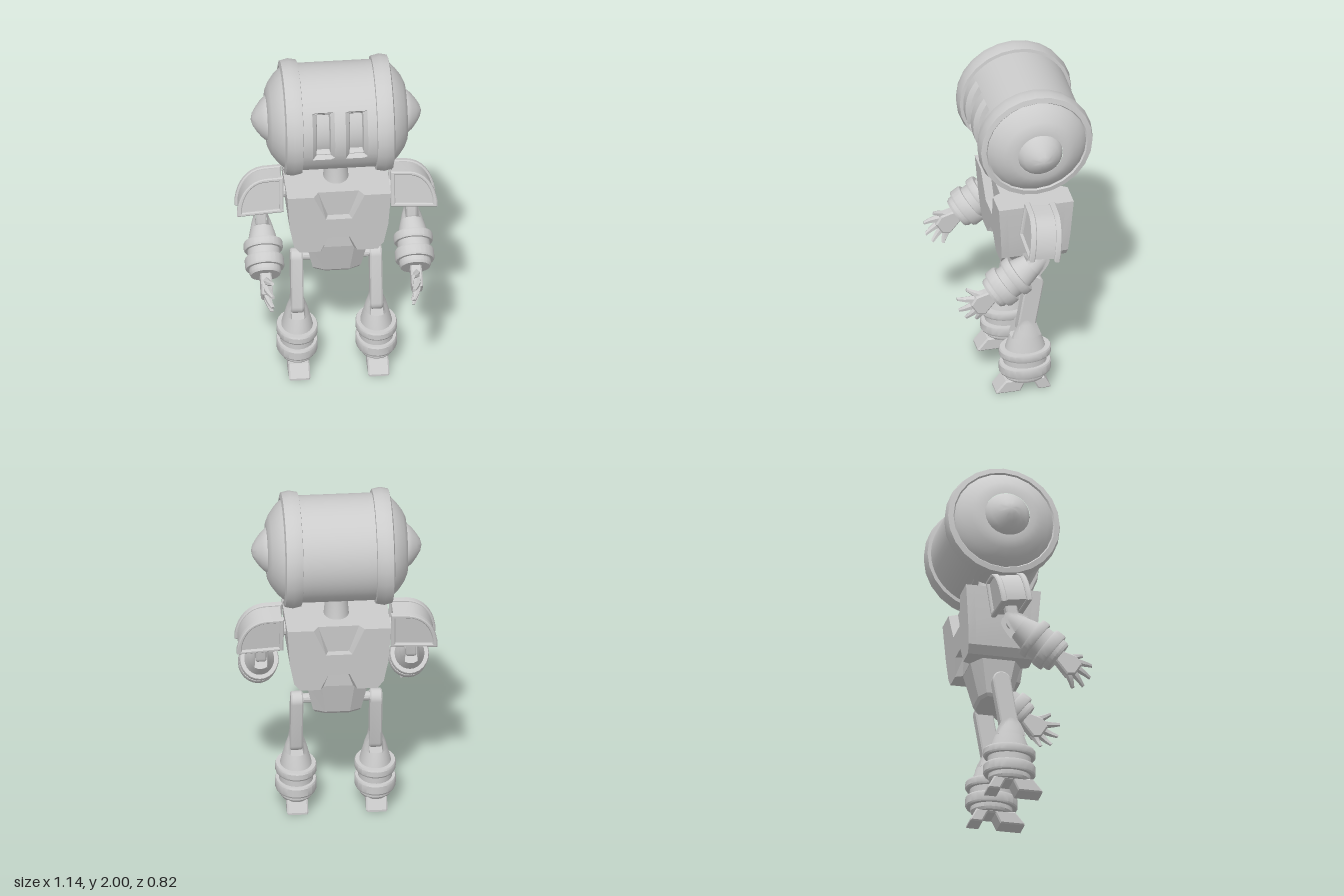
import * as THREE from 'three';
import { toCreasedNormals } from 'three/addons/utils/BufferGeometryUtils.js';

const material = new THREE.MeshStandardMaterial({ color: 0xcccccc });
const V2 = ([x, y]) => new THREE.Vector2(x, y);

function add(parent, name, geo, crease = 0.5) {
  const mesh = new THREE.Mesh(toCreasedNormals(geo, crease), material);
  mesh.name = name;
  parent.add(mesh);
  return mesh;
}

function group(parent, name, x = 0, y = 0, z = 0) {
  const g = new THREE.Group();
  g.name = name;
  g.position.set(x, y, z);
  parent.add(g);
  return g;
}

const lathe = (pts) => new THREE.LatheGeometry(pts.map(V2), 24);

function extrude(shape, depth, bevel = 0) {
  return new THREE.ExtrudeGeometry(shape, {
    depth, curveSegments: 8, bevelEnabled: bevel > 0, bevelSize: bevel, bevelThickness: bevel,
    bevelOffset: -bevel, bevelSegments: 1,
  }).translate(0, 0, -depth / 2);
}

function bend(geo, rule) {
  const p = geo.attributes.position, v = new THREE.Vector3();
  for (let i = 0; i < p.count; i++) {
    rule(v.fromBufferAttribute(p, i));
    p.setXYZ(i, v.x, v.y, v.z);
  }
  return geo;
}

function meshFrom(pos, idx) {
  const g = new THREE.BufferGeometry();
  g.setAttribute('position', new THREE.Float32BufferAttribute(pos, 3));
  g.setIndex(idx);
  return g;
}

// Head drum whose radius drops inside the eye slots and the neck socket
function barrel() {
  const R = 0.305;
  // Each slot: x range, angle range, depth, width of its sloping edge
  const slots = [[0.043, 0.045, 1.86, Math.PI]].length && [
    [-0.074, 0.074, Math.PI - 0.4, Math.PI + 0.4, 0.045, 0.01],
  ];
  for (const x of [-0.094, 0.094]) {
    slots.push([x - 0.035, x + 0.035, 0.95, 1.86, 0.06, 0.006]);
    slots.push([x - 0.041, x + 0.041, 0.93, 1.89, 0.025, 0.022]);
  }
  const xs = [-0.22, 0.22], ts = [];
  for (let i = 0; i <= 48; i++) ts.push(i * Math.PI / 24);
  for (const [x0, x1, t0, t1, , lip] of slots) {
    xs.push(x0 - lip, x0, x1, x1 + lip);
    ts.push(t0 - lip * 2, t0, t1, t1 + lip * 2);
  }
  const order = (a) => [...new Set(a)].sort((p, q) => p - q);
  const X = order(xs), T = order(ts), pos = [], idx = [];
  for (const x of X) for (const t of T) {
    const s = slots.find(([a, b, c, d]) => x >= a && x <= b && t >= c && t <= d);
    const r = s ? R - s[4] : R;
    pos.push(x, r * Math.cos(t), r * Math.sin(t));
  }
  for (let i = 0; i < X.length - 1; i++) for (let j = 0; j < T.length - 1; j++) {
    const a = i * T.length + j, c = a + T.length;
    idx.push(a, a + 1, c, a + 1, c + 1, c);
  }
  return meshFrom(pos, idx);
}

function buildHead(root) {
  const head = group(root, 'head', 0, 1.665, -0.08);
  add(head, 'headDrum', barrel());
  for (const s of [1, -1]) {
    const end = group(head, 'headEnd');
    end.scale.x = s;
    add(end, 'headRing', lathe([[0.29, 0.207], [0.325, 0.212], [0.335, 0.26], [0.325, 0.305],
      [0.295, 0.312], [0.285, 0.30]]).rotateZ(-Math.PI / 2));
    add(end, 'headDome', lathe([[0.29, 0.30], [0.275, 0.32], [0.25, 0.345], [0.205, 0.378],
      [0.165, 0.396], [0.13, 0.398]]).rotateZ(-Math.PI / 2));
    add(end, 'earKnob', lathe([[0.13, 0.385], [0.126, 0.402], [0.103, 0.428], [0.07, 0.454],
      [0.035, 0.476], [0, 0.485]]).rotateZ(-Math.PI / 2), 0.9);
  }
}

function buildTorso(root) {
  const torso = group(root, 'torso', 0, 0, -0.08);
  const side = [[0.22, 0.855], [0.255, 0.90], [0.28, 1.03], [0.295, 1.25]];
  const mirrored = (a) => a.map(([x, y]) => [-x, y]).reverse();
  const topCut = [[0.145, 1.25], [0.075, 1.085]], lowCut = [[0.06, 0.955], [0.105, 0.855]];
  const taper = (v) => { v.z *= 0.87 + 0.13 * (v.y - 0.855) / 0.395; };

  const core = new THREE.Shape([...side, ...mirrored(side)].map(V2));
  add(torso, 'torsoCore', bend(extrude(core, 0.34), taper), 0.2);

  // Front and back plates, notched at top and bottom with sloping notch walls
  const outline = [...side, ...topCut, ...mirrored(topCut), ...mirrored(side),
    ...mirrored(lowCut), ...lowCut];
  for (const turn of [0, Math.PI]) {
    const plate = extrude(new THREE.Shape(outline.map(V2)), 0.048).translate(0, 0, 0.194);
    bend(plate, (v) => {
      if (Math.abs(v.x) < 0.15 && v.z < 0.18) v.x *= 0.8;
      taper(v);
    });
    add(torso, 'torsoPlate', plate.rotateY(turn), 0.2);
  }

  // Pelvis: tapering block with angled corners, closed at the bottom and top
  const loop = (w, d, y) => [[0.52, 1], [1, 0.65], [1, -0.65], [0.52, -1], [-0.52, -1],
    [-1, -0.65], [-1, 0.65], [-0.52, 1]].map(([a, b]) => [a * w, y, b * d]);
  const rows = [loop(0.125, 0.08, 0.645), loop(0.137, 0.095, 0.662), loop(0.18, 0.147, 0.86)];
  const idx = [];
  for (let r = 0; r < 2; r++) for (let i = 0; i < 8; i++) {
    const a = r * 8 + i, b = r * 8 + (i + 1) % 8;
    idx.push(a, b, a + 8, b, b + 8, a + 8);
  }
  for (let i = 1; i < 7; i++) idx.push(0, i + 1, i, 16, 16 + i, 17 + i);
  add(torso, 'pelvis', meshFrom(rows.flat(2), idx), 0.2);

  add(torso, 'neck', lathe([[0.074, 1.24], [0.07, 1.26], [0.06, 1.42]]).scale(1, 1, 1.28));
}

// Flat round-ended bar between two points in the side plane, given as [z, y]
function link(parent, name, x, [z0, y0], [z1, y1], r, width) {
  const len = Math.hypot(z1 - z0, y1 - y0), shape = new THREE.Shape();
  shape.absarc(0, len / 2, r, 0, Math.PI);
  shape.absarc(0, -len / 2, r, Math.PI, Math.PI * 2);
  const m = add(parent, name, extrude(shape, width - 0.016, 0.008).rotateY(Math.PI / 2));
  m.position.set(x, (y0 + y1) / 2, (z0 + z1) / 2);
  m.rotation.x = Math.atan2(z0 - z1, y0 - y1);
}

// Ringed lower limb ending in a two-pronged fork
function limb(parent, name, sx, sz) {
  const body = lathe([[0, 0.07], [0.112, 0.07], [0.122, 0.085], [0.122, 0.11], [0.145, 0.11],
    [0.151, 0.12], [0.151, 0.165], [0.145, 0.175], [0.125, 0.175], [0.125, 0.22], [0.145, 0.22],
    [0.151, 0.23], [0.151, 0.26], [0.145, 0.27], [0.115, 0.27], [0.103, 0.31], [0.088, 0.352],
    [0, 0.352]]);
  add(parent, name, body.scale(sx, 1, sz));
  for (const s of [1, -1]) {
    const prong = lathe([[0, 0.335], [0.088, 0.352], [0.075, 0.39], [0.056, 0.43],
      [0.036, 0.453], [0, 0.465]]).scale(sx, 1, sz);
    bend(prong, (v) => { v.x = Math.max(v.x, 0.037); });
    if (s < 0) prong.rotateY(Math.PI);
    add(parent, name + 'Fork', prong);
  }
}

function buildLeg(parent) {
  add(parent, 'hipPin', new THREE.CylinderGeometry(0.027, 0.027, 0.1, 12).rotateZ(Math.PI / 2)
    .translate(0.16, 0.705, -0.08));
  link(parent, 'thigh', 0.225, [-0.08, 0.695], [-0.03, 0.405], 0.052, 0.07);
  const shin = group(parent, 'lowerLeg', 0.225, 0, -0.03);
  limb(shin, 'shin', 0.78, 1);
  // Arched foot with a front toe and a heel claw
  const foot = [[0.18, 0], [0.18, 0.012], [0.125, 0.078], [-0.10, 0.078], [-0.135, 0.012],
    [-0.135, 0], [-0.065, 0], [-0.035, 0.06], [0.01, 0.06], [0.04, 0]];
  add(shin, 'foot', extrude(new THREE.Shape(foot.map(V2)), 0.105, 0.008).rotateY(-Math.PI / 2), 0.2);
}

function buildArm(parent) {
  // Shoulder guard: a D-shaped block with raised rims front and back
  const curve = new THREE.CubicBezierCurve(V2([0.57, 1.085]), V2([0.555, 1.19]), V2([0.50, 1.27]),
    V2([0.41, 1.28]));
  const outline = (s) => [V2([0.305, 1.065]), V2([0.57, 1.048]), ...curve.getPoints(8),
    V2([0.305, 1.285])].map((p) => V2([(p.x - 0.43) * s, (p.y - 1.165) * s]));
  const shoulder = group(parent, 'shoulder', 0.43, 1.165, -0.08);
  shoulder.rotation.x = -0.15;
  add(shoulder, 'shoulderBlock', extrude(new THREE.Shape(outline(0.9)), 0.15));
  for (const z of [0.074, -0.074]) {
    const rim = new THREE.Shape(outline(1));
    rim.holes.push(new THREE.Path(outline(0.8)));
    add(shoulder, 'shoulderRim', extrude(rim, 0.022, 0.006).translate(0, 0, z));
  }
  add(parent, 'shoulderPin', new THREE.CylinderGeometry(0.04, 0.04, 0.1, 12)
    .rotateZ(Math.PI / 2).translate(0.3, 1.16, -0.08));
  link(parent, 'upperArm', 0.427, [-0.08, 1.12], [-0.056, 0.975], 0.034, 0.06);

  const arm = group(parent, 'lowerArm', 0.427, 0.743, 0.268);
  arm.rotation.x = -0.95;
  limb(arm, 'forearm', 0.74, 0.8);
  // Palm widens towards the knuckles
  const palm = [[-0.035, 0.08], [-0.066, -0.03], [-0.035, -0.065], [0.04, -0.06], [0.064, -0.005],
    [0.035, 0.08]];
  add(arm, 'palm', extrude(new THREE.Shape(palm.map(V2)), 0.048, 0.008).rotateY(-Math.PI / 2), 0.2);
  // Fingers: [fan angle, base z, base y, length]; they curl inwards
  const fingers = [[1.05, 0.035, 0.02, 0.09], [0.6, 0.042, -0.02, 0.1], [0.15, 0.015, -0.04, 0.1],
    [-0.2, -0.018, -0.04, 0.1], [-0.55, -0.042, -0.025, 0.085]];
  for (const [a, z, y, len] of fingers) {
    const g = new THREE.CylinderGeometry(0.026, 0.011, len, 6, 3).translate(0, -len / 2, 0);
    bend(g, (v) => { v.x -= 0.025 * (v.y / len) ** 2; });
    const finger = add(arm, 'finger', g, 0.3);
    finger.position.set(0, y, z);
    finger.rotation.x = -a;
  }
}

export function createModel() {
  const root = new THREE.Group();
  root.name = 'robot';
  buildHead(root);
  buildTorso(root);
  for (const s of [1, -1]) {
    const limbs = group(root, s > 0 ? 'leftLimbs' : 'rightLimbs');
    limbs.scale.x = s;
    buildLeg(limbs);
    buildArm(limbs);
  }
  return root;
}
